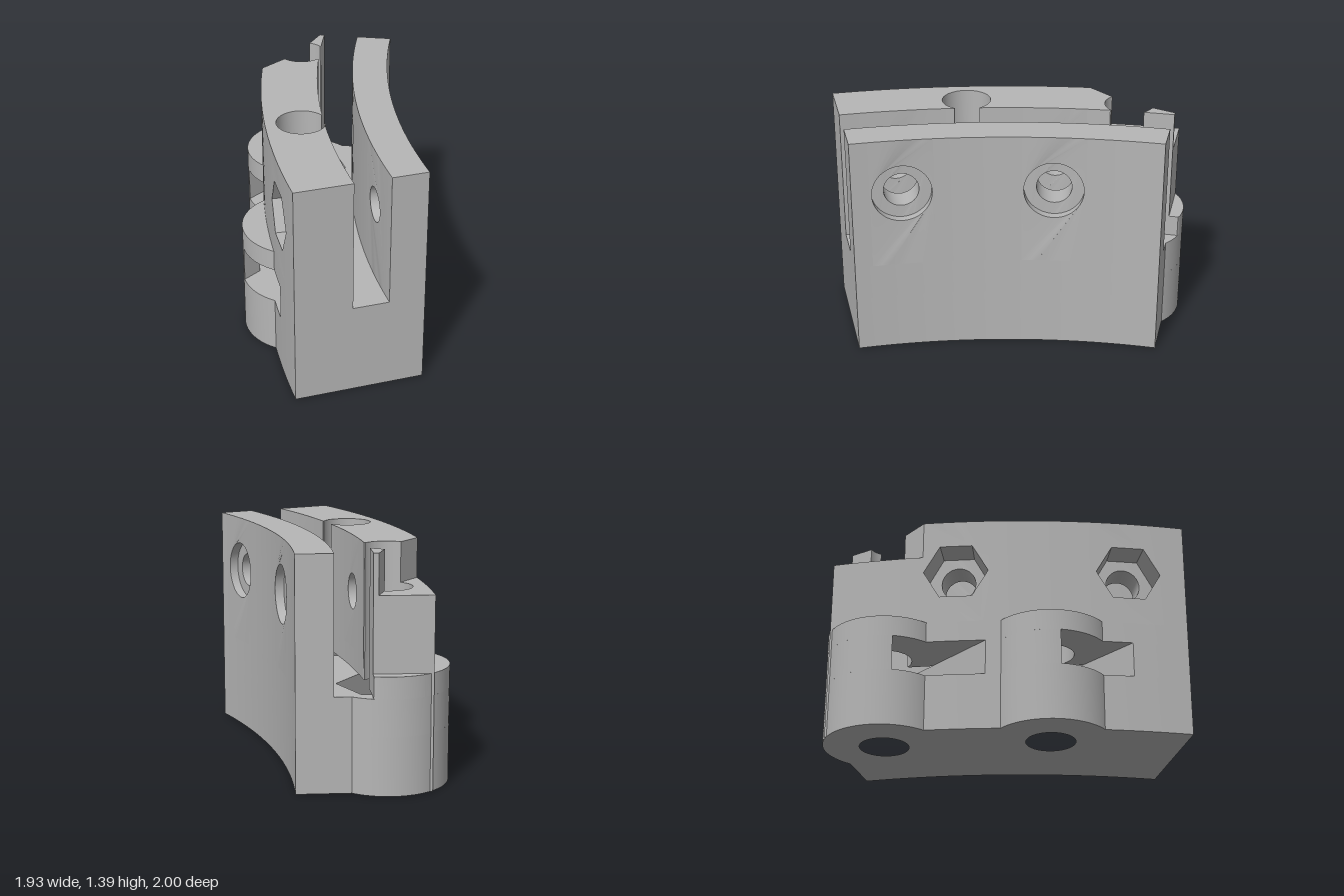
import * as THREE from 'three';
import { toCreasedNormals } from 'three/addons/utils/BufferGeometryUtils.js';

// Plan layout: a ring sector about a distant centre, angles in degrees
const CX = 3.36, CZ = 3.115;
const A0 = 30.1, A1 = 55.3;                                // the two ends
const R_FRONT = 4.21, R_SLOT0 = 4.43, R_SLOT1 = 4.65, R_BACK = 5;
const FLOOR = 0.57, LUG_TOP = 0.7, CUT = 1.15, TOP = 1.39, POCKET = 0.35;
const BORE = 0.15, LUG = 0.37, HEX = 0.295, FLAT = 0.255;
const SCREW_Y = 1.045;

const rad = THREE.MathUtils.degToRad;
const at = (r, a) => [CX - r * Math.cos(rad(a)), CZ - r * Math.sin(rad(a))];
const radius = ([x, z]) => Math.hypot(CX - x, CZ - z);
const angle = ([x, z]) => THREE.MathUtils.radToDeg(Math.atan2(CZ - z, CX - x));
const lugs = [[0.41, -0.63], [-0.32, 0.06]];

function arc(r, a, b) {
  const n = Math.max(2, Math.ceil(Math.abs(b - a) * 2));
  return Array.from({ length: n + 1 }, (_, i) => at(r, a + (b - a) * i / n));
}

// circle in plan, starting on the side nearest the ring centre
function circle([cx, cz], r, n = 96) {
  const t0 = Math.atan2(CZ - cz, CX - cx);
  return Array.from({ length: n }, (_, i) => {
    const t = t0 + (i / n) * Math.PI * 2;
    return [cx + r * Math.cos(t), cz + r * Math.sin(t)];
  });
}

const outsideBores = ([x, z]) => lugs.every(([cx, cz]) => Math.hypot(x - cx, z - cz) > BORE);
const toShape = (pts) => new THREE.Shape(pts.map(([x, z]) => new THREE.Vector2(x, -z)));

// ring strip; bores that break its inner edge become notches
function strip(r0, r1, a0, a1, bores = []) {
  const inner = [];
  let a = a1;
  for (const b of bores) {
    inner.push(...arc(r0, a, angle(b)).filter(outsideBores));
    inner.push(...circle(b, BORE).reverse().filter((p) => radius(p) > r0));
    a = angle(b);
  }
  inner.push(...arc(r0, a, a0).filter(outsideBores));
  return [...arc(r1, a0, a1), ...inner];
}

export function createModel() {
  const group = new THREE.Group();
  const grey = new THREE.MeshStandardMaterial({ color: 0xb6b6b6 });
  grey.name = 'grey';

  function add(name, geo) {
    const mesh = new THREE.Mesh(toCreasedNormals(geo, 0.5), grey);
    mesh.name = name;
    group.add(mesh);
  }

  // upright slab from a plan outline
  function slab(name, pts, y0, y1, holes = []) {
    const shape = toShape(pts);
    shape.holes = holes.map(toShape);
    const geo = new THREE.ExtrudeGeometry(shape, { depth: y1 - y0, bevelEnabled: false });
    geo.rotateX(-Math.PI / 2).translate(0, y0, 0);
    add(name, geo);
  }

  // wall tile with a radial hole: extruded flat, then bent round the ring
  function tile(name, a0, a1, ac, y0, rOut, rIn, ref, holeR, sides) {
    const s = (a) => rad(a - ac) * ref;
    const xs = Array.from({ length: 9 }, (_, i) => s(a0 + (a1 - a0) * i / 8));
    const shape = new THREE.Shape([
      ...xs.map((x) => new THREE.Vector2(x, y0)),
      ...xs.reverse().map((x) => new THREE.Vector2(x, TOP)),
    ]);
    shape.holes.push(new THREE.Path(Array.from({ length: sides }, (_, i) => {
      const t = (i / sides) * Math.PI * 2;
      return new THREE.Vector2(holeR * Math.cos(t), SCREW_Y + holeR * Math.sin(t));
    })));
    const geo = new THREE.ExtrudeGeometry(shape, { depth: rOut - rIn, bevelEnabled: false });
    const p = geo.attributes.position;
    for (let i = 0; i < p.count; i++) {
      const [x, z] = at(rOut - p.getZ(i), ac + THREE.MathUtils.radToDeg(p.getX(i) / ref));
      p.setXYZ(i, x, p.getY(i), z);
    }
    add(name, geo);
  }

  // base below the nut pockets
  slab('base', strip(R_FRONT, R_BACK, A0, A1), 0, POCKET, lugs.map((c) => circle(c, BORE)));

  // base layer with hexagonal nut pockets open towards -x
  const hexPath = ([cx, cz]) => [[-HEX / 2, FLAT], [HEX / 2, FLAT], [HEX, 0], [HEX / 2, -FLAT]]
    .map(([x, z]) => [cx + x, cz + z]);
  const backAngle = (z) => THREE.MathUtils.radToDeg(Math.asin((CZ - z) / R_BACK));
  const outline = [];
  let a = A0;
  for (const c of [...lugs].reverse()) {
    outline.push(...arc(R_BACK, a, backAngle(c[1] + FLAT)), ...hexPath(c));
    a = backAngle(c[1] - FLAT);
  }
  outline.push(...arc(R_BACK, a, A1), ...arc(R_FRONT, A1, A0));
  slab('pocketLayer', outline, POCKET, FLOOR);

  // round lugs on the back
  for (const c of lugs) {
    const [cx, cz] = c;
    slab('lugBase', circle(c, LUG), 0, POCKET, [circle(c, BORE)]);
    const t0 = Math.PI - Math.asin(FLAT / LUG), t1 = -Math.PI + Math.asin(0.2 / LUG);
    const rim = Array.from({ length: 65 }, (_, i) => {
      const t = t1 + (t0 - t1) * i / 64;
      return [cx + LUG * Math.cos(t), cz + LUG * Math.sin(t)];
    });
    slab('lugPocket', [...rim, ...hexPath(c), [cx - HEX / 2, cz - FLAT], [cx - 0.179, cz - 0.2]],
      POCKET, FLOOR);
    slab('lugTop', circle(c, LUG).filter((p) => radius(p) > 4.94), FLOOR, LUG_TOP);
  }
  // part of the lug that stands out past the end, trimmed by the slot
  slab('lugTopEnd', circle(lugs[0], LUG).filter((p) => angle(p) > 54.3)
    .map((p) => (radius(p) < R_SLOT1 ? at(R_SLOT1, angle(p)) : p)), FLOOR, LUG_TOP);

  // front wall with two counterbored screw holes
  for (const [a0, a1] of [[A0, 31.6], [36.8, 43.9], [49.1, A1]]) {
    slab('frontWall', strip(R_FRONT, R_SLOT0, a0, a1), FLOOR, TOP);
  }
  for (const [a0, a1, ac] of [[31.6, 36.8, 34.2], [43.9, 49.1, 46.5]]) {
    tile('frontScrewHole', a0, a1, ac, FLOOR, R_SLOT0, 4.265, R_FRONT, 0.105, 40);
    tile('frontCounterbore', a0, a1, ac, FLOOR, 4.265, R_FRONT, R_FRONT, 0.18, 48);
  }

  // back wall with bores and two hexagonal nut recesses
  slab('backWallFoot', strip(R_SLOT1, R_BACK, A0, A1, lugs), FLOOR, LUG_TOP);
  slab('backWallEnd', strip(R_SLOT1, R_BACK, A0, 31.6), LUG_TOP, TOP);
  slab('backWallMiddle', strip(R_SLOT1, R_BACK, 36.8, 43.9, [lugs[1]]), LUG_TOP, TOP);
  slab('backWallLow', strip(R_SLOT1, R_BACK, 48.75, A1, [lugs[0]]), LUG_TOP, CUT);
  for (const [a0, a1, ac] of [[31.6, 36.8, 34.2], [43.9, 48.75, 46.4]]) {
    tile('backNutRecess', a0, a1, ac, LUG_TOP, R_BACK, 4.82, R_BACK, 0.2, 6);
    tile('backScrewHole', a0, a1, ac, LUG_TOP, 4.82, R_SLOT1, R_BACK, 0.11, 40);
  }

  // stubs left standing beside the corner cut, on both sides of the bore
  const ba = angle(lugs[0]);
  const bore = circle(lugs[0], BORE).filter((p) => radius(p) > R_SLOT1);
  slab('cutShoulder', [
    at(R_BACK, 48.75),
    ...bore.filter((p) => angle(p) < ba && p[1] > -0.64).reverse(),
    ...arc(R_SLOT1, ba, 48.75).filter(outsideBores),
  ], CUT, TOP);
  slab('cutPost', [
    at(4.68, A1),
    ...bore.filter((p) => angle(p) > ba && p[1] > -0.69),
    ...arc(R_SLOT1, ba, A1).filter(outsideBores),
  ], CUT, TOP);

  return group;
}
